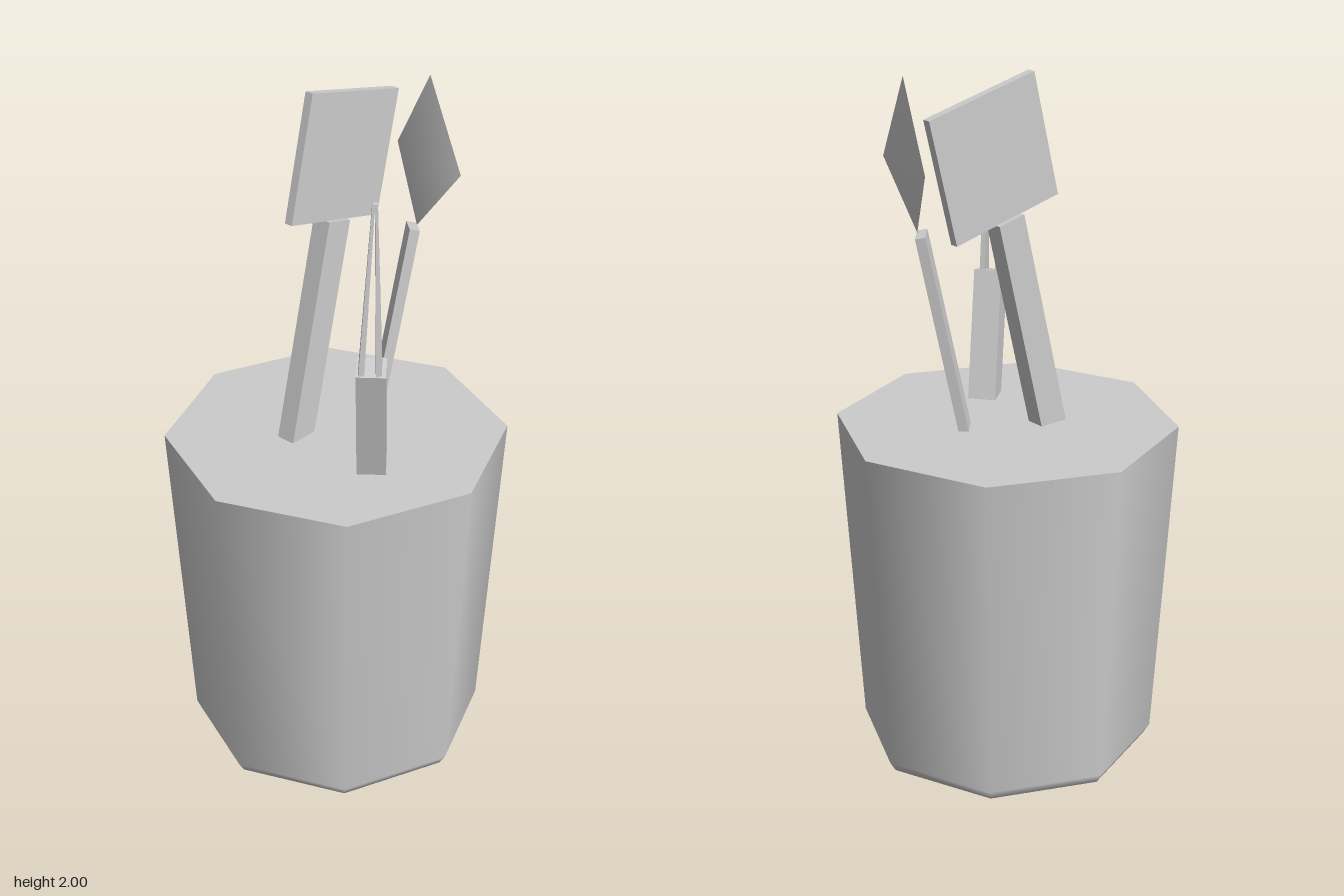
import * as THREE from 'three';
import { toCreasedNormals } from 'three/addons/utils/BufferGeometryUtils.js';

const V = (x, y, z) => new THREE.Vector3(x, y, z);

export function createModel() {
  const group = new THREE.Group();
  const grey = new THREE.MeshStandardMaterial({ color: 0xcccccc });
  grey.name = 'light grey';

  const add = (name, geometry, parent = group) => {
    const mesh = new THREE.Mesh(geometry, grey);
    mesh.name = name;
    parent.add(mesh);
    return mesh;
  };

  // Leaning square bar: hangs down from the middle of its end face along axis,
  // with its width turned towards side.
  const bar = (name, top, axis, side, width, depth, length) => {
    const a = axis.clone().normalize();
    const u = side.clone().addScaledVector(a, -side.dot(a)).normalize();
    const w = u.clone().cross(a);
    const geometry = new THREE.BoxGeometry(width, length, depth);
    geometry.translate(0, -length / 2, 0);
    geometry.applyMatrix4(new THREE.Matrix4().makeBasis(u, a, w).setPosition(top));
    return add(name, geometry);
  };

  // Eight-sided pot with a bevelled foot, smooth walls and flat ends
  const profile = [[0.385, 0.005], [0.41, 0.015], [0.428, 0.045], [0.485, 1]];
  add('pot', new THREE.LatheGeometry(profile.map(([r, y]) => new THREE.Vector2(r, y)), 8));
  const octagon = (r) => new THREE.CircleGeometry(r, 8);
  add('potTop', octagon(0.485).rotateX(-Math.PI / 2).translate(0, 1, 0));
  add('potBase', octagon(0.385).rotateX(Math.PI / 2).translate(0, 0.005, 0));

  // Spatula: handle and tilted square blade
  const tilt = 0.242;
  bar('spatulaHandle', V(0.0625, 1.614, -0.073), V(Math.sin(tilt), Math.cos(tilt), 0),
    V(1, 0, 0), 0.086, 0.057, 0.66);
  const blade = add('spatulaBlade', new THREE.BoxGeometry(0.355, 0.355, 0.025));
  blade.position.set(0.105, 1.785, -0.073);
  blade.rotation.z = -tilt;

  // Spoon: handle and diamond scoop with a bulging back
  bar('spoonHandle', V(0.24, 1.572, 0.065), V(0.2, 1, 0.06), V(0.046, 0, -0.05), 0.068, 0.028, 0.62);
  const tip = V(0.28, 2, 0.08), neck = V(0.247, 1.575, 0.073), back = V(0.236, 1.755, 0.067);
  const near = V(0.254, 1.76, 0.213), far = V(0.314, 1.765, -0.057);
  const scoop = new THREE.BufferGeometry().setFromPoints([
    tip, near, far, near, neck, far,
    back, tip, far, back, far, neck, back, neck, near, back, near, tip,
  ]);
  add('spoonScoop', toCreasedNormals(scoop, 1.2));

  // Whisk: handle and four thin wires meeting at the top
  bar('whiskHandle', V(-0.141, 1.357, 0.248), V(-0.178, 1, 0.14), V(0.05, 0, 0.062), 0.08, 0.08, 0.42);
  const wires = new THREE.Group();
  wires.name = 'whiskWires';
  group.add(wires);
  for (let i = 0; i < 4; i++) {
    const angle = i * Math.PI / 2 + 0.1;
    const dx = Math.cos(angle), dz = Math.sin(angle);
    const foot = V(-0.146 + 0.033 * dx, 1.35, 0.248 + 0.033 * dz);
    const top = V(-0.143 + 0.005 * dx, 1.828, 0.256 + 0.005 * dz);
    const run = top.clone().sub(foot);
    const geometry = new THREE.CylinderGeometry(0.005, 0.011, run.length(), 4).toNonIndexed();
    geometry.computeVertexNormals();
    const wire = add('whiskWire', geometry, wires);
    wire.position.copy(foot).addScaledVector(run, 0.5);
    wire.quaternion.setFromUnitVectors(V(0, 1, 0), run.normalize());
  }
  return group;
}
